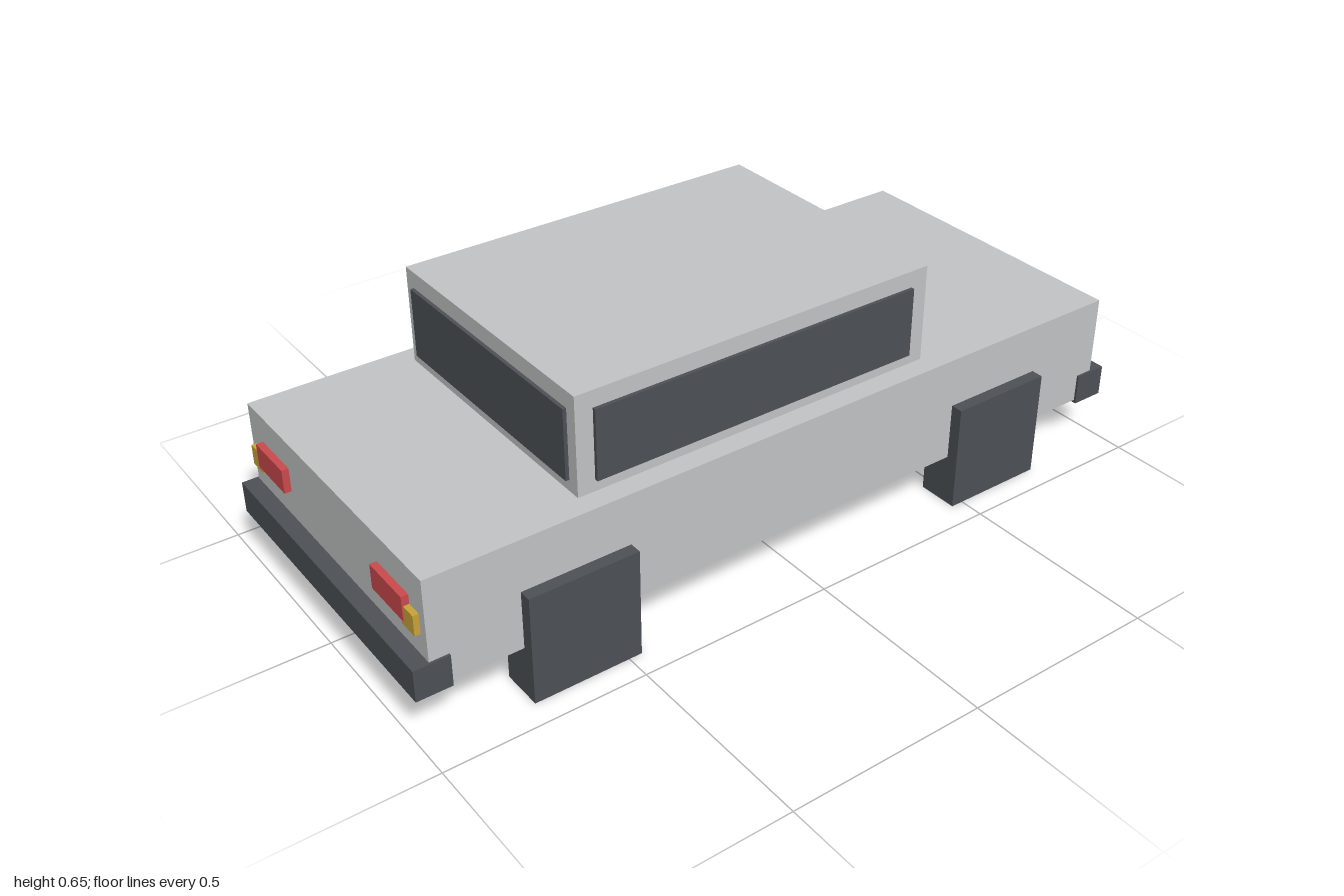
import * as THREE from 'three';

const paint = (name, color) => {
  const m = new THREE.MeshStandardMaterial({ color });
  m.name = name;
  return m;
};

export function createModel() {
  const car = new THREE.Group();
  car.name = 'car';
  const silver = paint('silver body', 0xc2c4c5);
  const dark = paint('dark grey', 0x4d5156);
  const red = paint('red lamp', 0xcb4a4c);
  const amber = paint('amber lamp', 0xc8a438);
  const clear = paint('clear lamp', 0xc6cccf);

  // Box from its minimum and maximum corners
  const box = (name, mat, [x0, y0, z0], [x1, y1, z1]) => {
    const mesh = new THREE.Mesh(new THREE.BoxGeometry(x1 - x0, y1 - y0, z1 - z0), mat);
    mesh.position.set((x0 + x1) / 2, (y0 + y1) / 2, (z0 + z1) / 2);
    mesh.name = name;
    car.add(mesh);
  };
  // Same box on the left (+x) and mirrored on the right
  const pair = (name, mat, [x0, y0, z0], [x1, y1, z1]) => {
    box(name + 'Left', mat, [x0, y0, z0], [x1, y1, z1]);
    box(name + 'Right', mat, [-x1, y0, z0], [-x0, y1, z1]);
  };

  // Lower body and cabin
  box('body', silver, [-0.405, 0.13, -0.96], [0.405, 0.406, 0.96]);
  box('cabin', silver, [-0.352, 0.406, -0.4], [0.352, 0.653, 0.562]);

  // Windows, standing slightly proud of the cabin
  box('frontWindow', dark, [-0.321, 0.435, 0.562], [0.321, 0.611, 0.571]);
  box('rearWindow', dark, [-0.321, 0.435, -0.409], [0.321, 0.611, -0.4]);
  pair('sideWindow', dark, [0.352, 0.435, -0.355], [0.361, 0.611, 0.518]);

  // Bumpers
  box('frontBumper', dark, [-0.411, 0.122, 0.913], [0.411, 0.202, 1]);
  box('rearBumper', dark, [-0.411, 0.122, -1], [0.411, 0.202, -0.913]);

  // Square wheels
  pair('frontWheel', dark, [0.33, 0, 0.467], [0.436, 0.277, 0.741]);
  pair('rearWheel', dark, [0.33, 0, -0.741], [0.436, 0.277, -0.467]);

  // Front lamps
  pair('redLamp', red, [0.209, 0.274, 0.95], [0.343, 0.335, 0.977]);
  pair('frontIndicator', amber, [0.33, 0.26, 0.95], [0.382, 0.311, 0.974]);

  // Rear lamps
  pair('clearLamp', clear, [0.209, 0.26, -0.974], [0.338, 0.315, -0.95]);
  pair('rearIndicator', amber, [0.338, 0.26, -0.976], [0.385, 0.318, -0.95]);

  return car;
}
